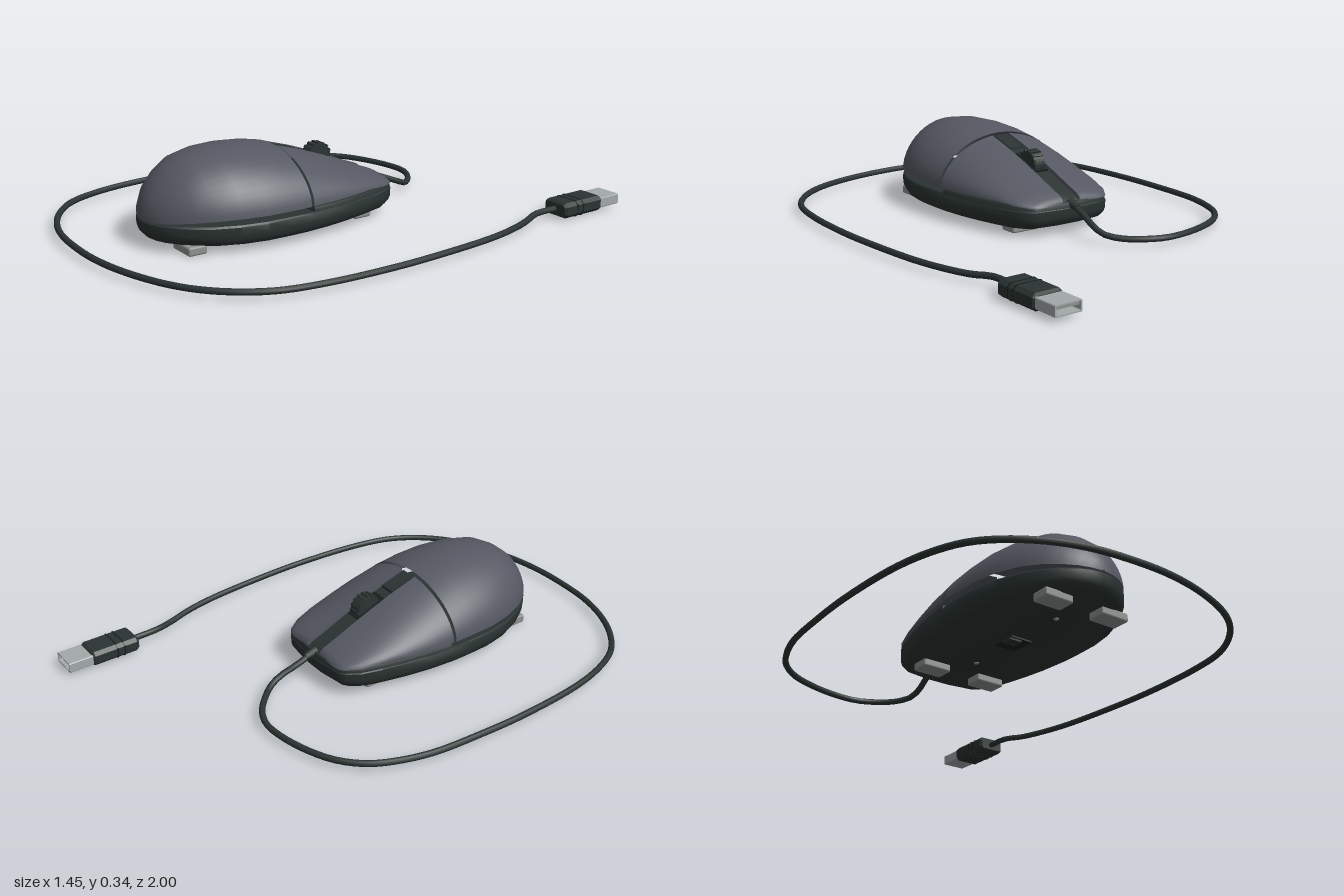
import * as THREE from 'three';
import { toCreasedNormals } from 'three/addons/utils/BufferGeometryUtils.js';
import { RoundedBoxGeometry } from 'three/addons/geometries/RoundedBoxGeometry.js';

const CX = -0.023; // centre line of the mouse body

// Body plan: [z, half width, top height]
const buttonRows = [
  [-0.25, 0.13, 0.118], [-0.246, 0.158, 0.134], [-0.23, 0.182, 0.147], [-0.18, 0.215, 0.166],
  [-0.1, 0.238, 0.2], [0, 0.261, 0.24], [0.1, 0.278, 0.276], [0.205, 0.287, 0.308],
];
const palmRows = [
  [0.217, 0.288, 0.313], [0.3, 0.288, 0.33], [0.4, 0.284, 0.338], [0.5, 0.264, 0.336],
  [0.59, 0.228, 0.32], [0.65, 0.188, 0.287], [0.7, 0.142, 0.245], [0.735, 0.092, 0.195],
  [0.752, 0.05, 0.155], [0.759, 0.004, 0.115],
];
const plan = [[-0.261, 0.05], ...buttonRows, ...palmRows];

// Surface through a grid of points
function surface(rows, crease = 0.6) {
  const pos = [], idx = [], n = rows[0].length;
  rows.forEach((r, i) => r.forEach((p, j) => {
    pos.push(...p);
    if (i + 1 < rows.length && j + 1 < n) {
      const a = i * n + j, b = a + n;
      idx.push(a, b, b + 1, a, b + 1, a + 1);
    }
  }));
  const g = new THREE.BufferGeometry();
  g.setAttribute('position', new THREE.Float32BufferAttribute(pos, 3));
  g.setIndex(idx);
  return toCreasedNormals(g, crease);
}

// Lower rim of the top shells, dipping towards the tail
const rimY = (z) => (z > 0.5 ? 0.13 - 0.022 * ((z - 0.5) / 0.26) ** 2 : z < -0.1 ? 0.13 + (z + 0.1) * 0.1 : 0.13);

// Height of the domed cross-section at sideways fraction u
function domeY([z, , top], u) {
  const y0 = Math.min(rimY(z), top);
  return y0 + (top - y0) * Math.pow(Math.max(0, 1 - u * u), 0.56);
}

function palmGeometry() {
  const N = 24;
  return surface(palmRows.map((r) => Array.from({ length: N + 1 }, (_, j) => {
    const u = Math.sin((j / N - 0.5) * Math.PI);
    return [u * r[1], domeY(r, u), r[0]];
  })), 0.9);
}

// One click button, from the wheel channel out to the side
function buttonGeometry(side) {
  const N = 12, slot = 0.04;
  return surface(buttonRows.map((r) => {
    const a0 = Math.asin(slot / r[1]);
    const pts = [[slot * side, Math.max(0.112, domeY(r, slot / r[1]) - 0.04), r[0]]];
    for (let j = 0; j <= N; j++) {
      const u = Math.sin(a0 + (Math.PI / 2 - a0) * (j / N));
      pts.push([u * r[1] * side, domeY(r, u), r[0]]);
    }
    return side > 0 ? pts : pts.reverse();
  }), 0.7);
}

// Stacked outlines: levels are [y, scale]
function stackGeometry(rows, levels) {
  const zc = (rows[0][0] + rows[rows.length - 1][0]) / 2;
  const loop = [...rows.map(([z, w]) => [w, z]), ...[...rows].reverse().map(([z, w]) => [-w, z])];
  loop.push(loop[0]);
  return surface(levels.map(([y, s]) => loop.map(([x, z]) => [x * s, y, zc + (z - zc) * s])));
}

export function createModel() {
  const mat = (name, color, side = THREE.FrontSide) => {
    const m = new THREE.MeshStandardMaterial({ color, side });
    m.name = name;
    return m;
  };
  const grey = mat('shell grey', 0x555862, THREE.DoubleSide);
  const dark = mat('dark green black', 0x2a3432, THREE.DoubleSide);
  const black = mat('groove black', 0x1a201f);
  const metal = mat('plug metal', 0xa3aaaa);
  const pad = mat('foot grey', 0x8e9090);

  const model = new THREE.Group();
  model.name = 'wiredMouse';
  const body = new THREE.Group();
  body.name = 'body';
  body.position.x = CX;
  model.add(body);
  const add = (parent, name, geo, material, x = 0, y = 0, z = 0) => {
    const m = new THREE.Mesh(geo, material);
    m.name = name;
    m.position.set(x, y, z);
    parent.add(m);
    return m;
  };

  // Base tray and the raised rim below the buttons
  add(body, 'base', stackGeometry(plan, [[0.028, 0], [0.028, 0.91], [0.036, 0.955], [0.052, 0.985],
    [0.07, 1], [0.1, 1], [0.107, 0.985], [0.107, 0]]), dark);
  add(body, 'frontRim', stackGeometry([[-0.261, 0.05], ...buttonRows],
    [[0.1, 0.99], [0.112, 0.985], [0.122, 0.965], [0.122, 0]]), dark);

  // Top shells
  add(body, 'palmShell', palmGeometry(), grey);
  add(body, 'leftButton', buttonGeometry(1), grey);
  add(body, 'rightButton', buttonGeometry(-1), grey);

  // Channel between the buttons, following their slope
  const strip = (z0, z1, half, drop) => {
    const rows = [];
    for (const r of buttonRows) {
      if (r[0] < z0 - 1e-6 || r[0] > z1 + 1e-6) continue;
      const y = r[2] - drop;
      rows.push([[-half, 0.11, r[0]], [-half, y, r[0]], [half, y, r[0]], [half, 0.11, r[0]]]);
    }
    const first = rows[0].map(([x, , z]) => [x, 0.11, z]);
    const last = rows[rows.length - 1].map(([x, , z]) => [x, 0.11, z]);
    return surface([first, ...rows, last]);
  };
  add(body, 'wheelChannel', strip(-0.25, 0.205, 0.037, 0.014), dark);
  add(body, 'channelButton', strip(0.1, 0.205, 0.031, 0.004), dark);
  add(body, 'wheelWell', new THREE.BoxGeometry(0.062, 0.006, 0.135), black, 0, 0.229, 0).rotation.x = -0.38;

  // Scroll wheel with grip ribs
  const wheel = new THREE.Group();
  wheel.name = 'scrollWheel';
  wheel.position.set(0, 0.224, -0.003);
  body.add(wheel);
  add(wheel, 'tyre', new THREE.CylinderGeometry(0.052, 0.052, 0.05, 20), dark).rotation.z = Math.PI / 2;
  for (let i = 0; i < 16; i++) {
    const a = (i / 16) * Math.PI * 2;
    add(wheel, 'rib', new THREE.BoxGeometry(0.046, 0.008, 0.01), dark,
      0, 0.053 * Math.cos(a), 0.053 * Math.sin(a)).rotation.x = a;
  }

  // Feet and sensor on the underside
  for (const x of [-0.125, 0.125]) for (const z of [-0.095, 0.635]) {
    add(body, 'foot', new RoundedBoxGeometry(0.12, 0.034, 0.076, 2, 0.008), pad, x, 0.017, z);
  }
  add(body, 'sensorRecess', new THREE.BoxGeometry(0.09, 0.008, 0.1), black, 0, 0.026, 0.25);
  add(body, 'sensorLens', new THREE.BoxGeometry(0.05, 0.012, 0.045), dark, -0.02, 0.021, 0.27);
  for (const z of [0.02, 0.5]) add(body, 'screw', new THREE.CylinderGeometry(0.01, 0.01, 0.004, 12), pad, 0, 0.027, z);

  // Cable with its strain relief
  const relief = add(body, 'strainRelief', new THREE.CylinderGeometry(0.013, 0.02, 0.05, 12), dark, 0, 0.111, -0.262);
  relief.rotation.x = -Math.PI / 2 - 0.25;
  const path = [
    [-0.023, -0.25], [-0.022, -0.32], [-0.012, -0.4], [-0.022, -0.445], [-0.065, -0.5], [-0.125, -0.55],
    [-0.2, -0.58], [-0.3, -0.577], [-0.42, -0.547], [-0.52, -0.5], [-0.6, -0.425], [-0.65, -0.33],
    [-0.688, -0.2], [-0.706, 0], [-0.712, 0.2], [-0.695, 0.48], [-0.66, 0.64], [-0.603, 0.765],
    [-0.52, 0.85], [-0.4, 0.922], [-0.26, 0.967], [-0.1, 0.984], [0.05, 0.983], [0.22, 0.955],
    [0.4, 0.893], [0.51, 0.825], [0.6, 0.73], [0.66, 0.62], [0.695, 0.45], [0.71, 0.2],
    [0.705, 0], [0.68, -0.28], [0.65, -0.42], [0.615, -0.52], [0.587, -0.6], [0.583, -0.71],
  ];
  const drop = [0.113, 0.087, 0.055, 0.037];
  const points = path.map(([x, z], i) => new THREE.Vector3(x, i < drop.length ? drop[i] : i > 33 ? 0.035 : 0.027, z));
  add(model, 'cable', new THREE.TubeGeometry(new THREE.CatmullRomCurve3(points), 140, 0.012, 10), dark);

  // Plug: chamfered grip, grooves, hollow metal sleeve and tongue
  const plug = new THREE.Group();
  plug.name = 'plug';
  plug.position.set(0.586, 0.036, 0);
  model.add(plug);
  const octagon = (w, h, c) => new THREE.Shape([
    [w - c, -h], [w, c - h], [w, h - c], [w - c, h], [c - w, h], [-w, h - c], [-w, c - h], [c - w, -h],
  ].map((p) => new THREE.Vector2(...p)));
  add(plug, 'grip', new THREE.ExtrudeGeometry(octagon(0.051, 0.022, 0.009), {
    depth: 0.18, bevelThickness: 0.01, bevelSize: 0.008, bevelSegments: 1,
  }), dark, 0, 0, -0.893);
  for (const z of [-0.8, -0.77]) {
    add(plug, 'grooveBand', new THREE.ExtrudeGeometry(octagon(0.06, 0.031, 0.012),
      { depth: 0.006, bevelEnabled: false }), black, 0, 0, z);
  }
  const sleeve = octagon(0.053, 0.02, 0.003);
  sleeve.holes.push(new THREE.Path(octagon(0.047, 0.015, 0.002).getPoints().reverse()));
  add(plug, 'sleeve', new THREE.ExtrudeGeometry(sleeve, { depth: 0.1, bevelEnabled: false }), metal, 0, 0, -1);
  add(plug, 'tongue', new THREE.BoxGeometry(0.092, 0.012, 0.09), pad, 0, 0.008, -0.948);
  return model;
}
